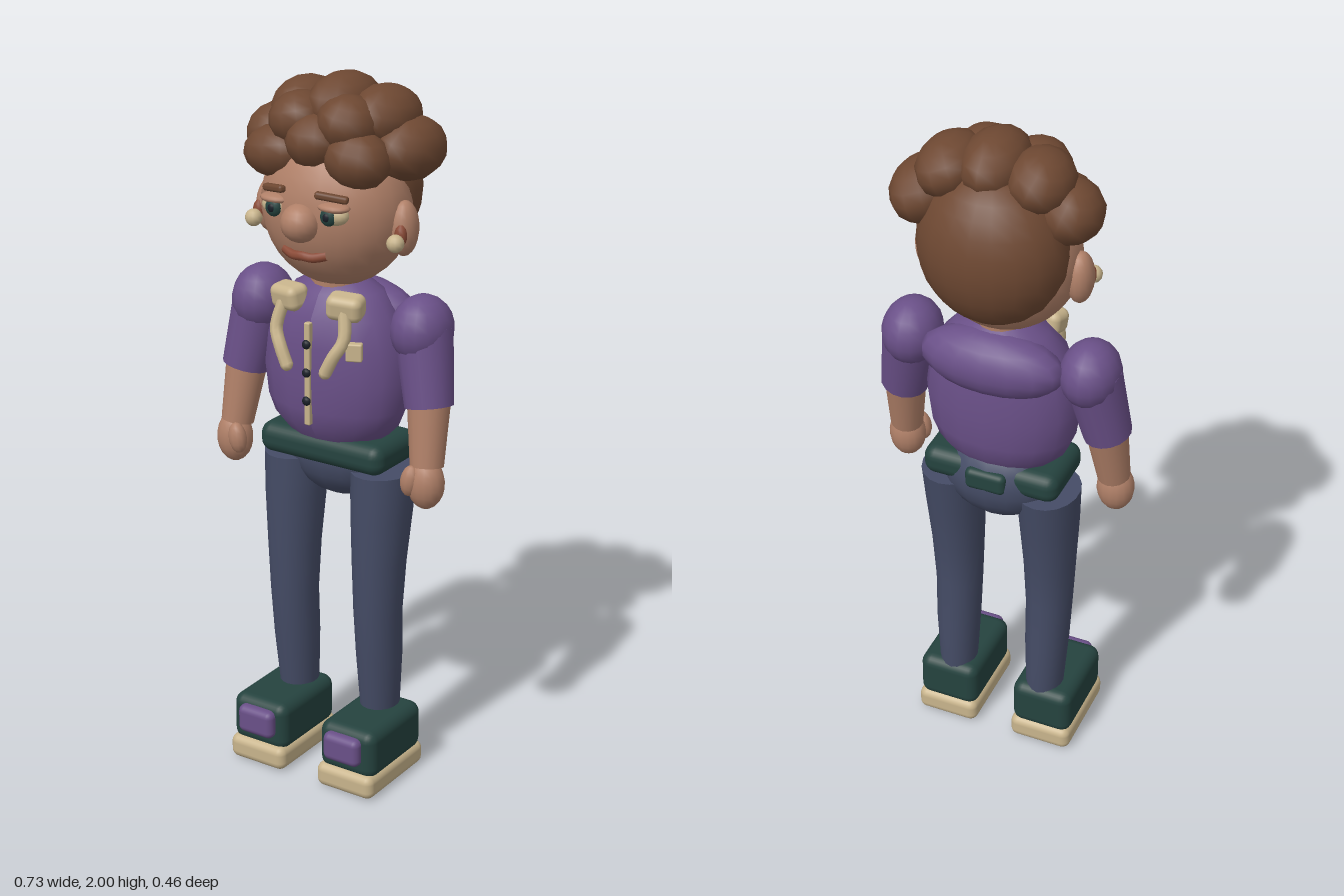
import * as THREE from 'three';
import { RoundedBoxGeometry } from 'three/addons/geometries/RoundedBoxGeometry.js';

const mat = (name, color) => {
  const m = new THREE.MeshStandardMaterial({ color });
  m.name = name;
  return m;
};

export function createModel() {
  const skin = mat('skin', 0xb08068), hair = mat('hair brown', 0x6e4832), purple = mat('shirt purple', 0x6a5088);
  const denim = mat('denim blue', 0x454c66), green = mat('dark green', 0x25433f), cream = mat('cream', 0xc8b48c);
  const lip = mat('lip brown', 0x8a4a36), dark = mat('near black', 0x1a1f28);

  const model = new THREE.Group();
  model.name = 'character';

  // Helpers
  const add = (name, geometry, material, pos = [0, 0, 0], rot = [0, 0, 0]) => {
    const m = new THREE.Mesh(geometry, material);
    m.name = name;
    m.position.set(...pos);
    m.rotation.set(...rot);
    model.add(m);
    return m;
  };
  const ball = (name, material, pos, r, rot, seg = 16) =>
    add(name, new THREE.SphereGeometry(1, seg, Math.round(seg * 0.7)).scale(...r), material, pos, rot);
  const box = (name, material, pos, size, radius, rot) =>
    add(name, new RoundedBoxGeometry(...size, 3, radius), material, pos, rot);
  const limb = (name, material, a, b, ra, rb) => {
    const from = new THREE.Vector3(...a), to = new THREE.Vector3(...b);
    const dir = to.clone().sub(from);
    const m = add(name, new THREE.CylinderGeometry(rb, ra, dir.length(), 16), material);
    m.position.copy(from).addScaledVector(dir, 0.5);
    m.quaternion.setFromUnitVectors(new THREE.Vector3(0, 1, 0), dir.normalize());
    return m;
  };
  // Closed loft through elliptical rings [y, x, z, rx, rz], listed from the top down
  const loft = (name, material, rings) => {
    const n = 18, g = new THREE.CylinderGeometry(1, 1, 1, n, rings.length - 1);
    const p = g.attributes.position;
    for (let i = 0; i < p.count; i++) {
      const k = Math.round((0.5 - p.getY(i)) * (rings.length - 1));
      const [y, x, z, rx, rz] = rings[k];
      p.setXYZ(i, x + p.getX(i) * rx, y, z + p.getZ(i) * rz);
    }
    g.computeVertexNormals();
    return add(name, g, material);
  };

  // Torso, upper back and neck
  loft('shirt', purple, [
    [1.45, 0, -0.01, 0.07, 0.06], [1.42, 0, -0.01, 0.13, 0.1], [1.36, 0, 0, 0.18, 0.127],
    [1.28, 0, 0, 0.208, 0.138], [1.19, 0, 0, 0.22, 0.142], [1.1, 0, 0, 0.208, 0.138],
    [1.05, 0, 0, 0.188, 0.125], [1.01, 0, 0, 0.15, 0.1],
  ]);
  ball('upperBack', purple, [0, 1.345, -0.075], [0.205, 0.095, 0.09]);
  limb('neck', skin, [0, 1.36, -0.005], [0, 1.5, -0.005], 0.075, 0.075);

  // Shirt front
  box('placket', cream, [0, 1.21, 0.14], [0.018, 0.29, 0.018], 0.004);
  for (const y of [1.295, 1.215, 1.135]) ball('button', dark, [0, y, 0.15], [0.013, 0.013, 0.009], undefined, 10);
  box('shirtPocket', cream, [0.132, 1.29, 0.118], [0.045, 0.05, 0.025], 0.005, [0, 0.4, 0]);

  // Hips and belt
  ball('hips', denim, [0, 0.945, -0.025], [0.165, 0.13, 0.112]);
  box('belt', green, [0, 0.975, -0.005], [0.4, 0.088, 0.215], 0.036);
  box('backBeltPatch', green, [0, 0.975, -0.118], [0.12, 0.065, 0.04], 0.018);

  for (const s of [1, -1]) {
    const side = s > 0 ? 'left' : 'right';

    // Arm
    ball(side + 'Shoulder', purple, [s * 0.258, 1.34, -0.018], [0.083, 0.095, 0.096]);
    limb(side + 'Sleeve', purple, [s * 0.262, 1.34, -0.018], [s * 0.3, 1.14, 0.01], 0.08, 0.067);
    limb(side + 'Forearm', skin, [s * 0.296, 1.17, 0.005], [s * 0.312, 0.98, 0.038], 0.06, 0.046);
    ball(side + 'Hand', skin, [s * 0.315, 0.935, 0.047], [0.053, 0.073, 0.048]);
    ball(side + 'Thumb', skin, [s * 0.284, 0.945, 0.078], [0.027, 0.045, 0.024], [0, 0, s * -0.15], 12);

    // Trouser leg
    loft(side + 'Leg', denim, [
      [0.92, s * 0.143, -0.015, 0.088, 0.106], [0.8, s * 0.143, -0.005, 0.083, 0.096],
      [0.65, s * 0.142, 0.005, 0.074, 0.083], [0.5, s * 0.141, 0.008, 0.067, 0.074],
      [0.36, s * 0.14, -0.002, 0.063, 0.073], [0.17, s * 0.138, -0.012, 0.053, 0.06],
    ]);

    // Shoe
    box(side + 'Sole', cream, [s * 0.149, 0.039, 0.057], [0.186, 0.072, 0.288], 0.024);
    box(side + 'Shoe', green, [s * 0.149, 0.131, 0.054], [0.182, 0.145, 0.268], 0.032);
    box(side + 'ToePatch', purple, [s * 0.146, 0.143, 0.192], [0.118, 0.084, 0.044], 0.02);

    // Collar and hanging lapel
    box(side + 'Collar', cream, [s * 0.09, 1.402, 0.095], [0.1, 0.07, 0.07], 0.022, [0.15, s * 0.25, s * -0.1]);
    const path = new THREE.CatmullRomCurve3([[0.095, 1.4, 0.11], [0.108, 1.32, 0.133], [0.085, 1.275, 0.148], [0.062, 1.228, 0.152]]
      .map(([x, y, z]) => new THREE.Vector3(s * x, y, z)));
    add(side + 'Lapel', new THREE.TubeGeometry(path, 10, 0.018, 8), cream);
    const end = path.getPoint(1);
    ball(side + 'LapelEnd', cream, end.toArray(), [0.018, 0.018, 0.018], undefined, 8);

    // Ear and earring
    ball(side + 'Ear', skin, [s * 0.213, 1.615, 0.005], [0.037, 0.075, 0.045]);
    ball(side + 'InnerEar', lip, [s * 0.225, 1.605, 0.042], [0.018, 0.03, 0.016], undefined, 10);
    ball(side + 'Earring', cream, [s * 0.225, 1.59, 0.068], [0.024, 0.024, 0.024], undefined, 12);

    // Eye with iris, pupil, lid and brow
    ball(side + 'Eye', cream, [s * 0.09, 1.665, 0.15], [0.043, 0.028, 0.03]);
    ball(side + 'Iris', green, [s * 0.086, 1.664, 0.172], [0.024, 0.025, 0.014], undefined, 12);
    ball(side + 'Pupil', dark, [s * 0.086, 1.664, 0.182], [0.011, 0.012, 0.006], undefined, 10);
    ball(side + 'Eyelid', skin, [s * 0.09, 1.685, 0.152], [0.047, 0.014, 0.034]);
    box(side + 'Eyebrow', hair, [s * 0.09, 1.713, 0.162], [0.09, 0.02, 0.022], 0.008, [0, s * 0.4, s * -0.14]);
  }

  // Head and face
  ball('head', skin, [0, 1.65, 0], [0.213, 0.22, 0.18], undefined, 24);
  ball('nose', skin, [0, 1.635, 0.172], [0.054, 0.052, 0.054]);
  const smile = new THREE.CatmullRomCurve3([[-0.065, 1.55, 0.148], [-0.03, 1.542, 0.162], [0, 1.544, 0.166], [0.03, 1.542, 0.162], [0.065, 1.55, 0.148]]
    .map(p => new THREE.Vector3(...p)));
  add('mouth', new THREE.TubeGeometry(smile, 12, 0.013, 8), lip);

  // Hair on the back of the head
  ball('backHair', hair, [0, 1.7, -0.065], [0.205, 0.22, 0.165], undefined, 20);

  // Curls: position, radii, roll
  const curls = [
    [[0.01, 1.915, -0.02], [0.09, 0.085, 0.128], 0],
    [[-0.115, 1.895, -0.025], [0.09, 0.08, 0.11], 0.35],
    [[0.125, 1.895, -0.04], [0.09, 0.08, 0.12], -0.35],
    [[-0.19, 1.815, -0.01], [0.088, 0.083, 0.1], 0.3],
    [[0.195, 1.815, -0.05], [0.088, 0.085, 0.12], -0.3],
    [[-0.13, 1.79, 0.075], [0.105, 0.073, 0.085], 0.12],
    [[0.115, 1.8, 0.08], [0.095, 0.078, 0.085], -0.15],
    [[-0.005, 1.835, 0.085], [0.085, 0.075, 0.092], 0],
    [[-0.075, 1.88, 0.06], [0.085, 0.075, 0.09], 0.2],
    [[0.075, 1.885, 0.06], [0.085, 0.075, 0.09], -0.2],
  ];
  for (const [pos, r, roll] of curls) ball('curl', hair, pos, r, [0, 0, roll], 12);

  return model;
}
